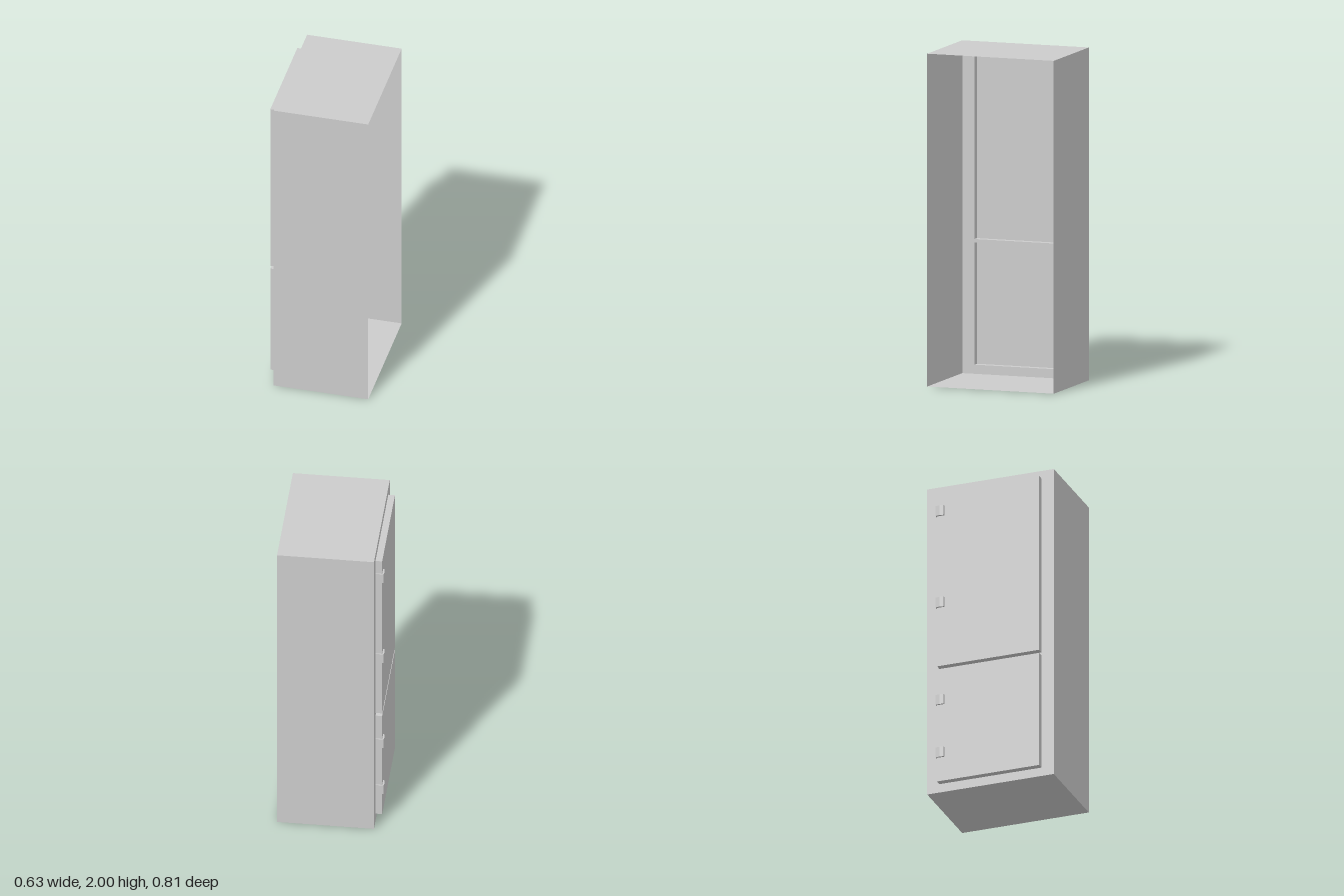
import * as THREE from 'three';

const W0 = -0.265, W1 = 0.315, H = 2, D = 0.403; // cabinet extents
const DOOR_X = -0.305, DOOR_Z = 0.325;           // door face and half width
const DOORS = [['upperDoor', 0.81, 1.95], ['lowerDoor', 0.055, 0.79]];

// Box between x limits and y limits, without its first few faces (order +x, -x, ...)
function openBox(x0, x1, y0, y1, halfZ, skippedFaces) {
  const g = new THREE.BoxGeometry(x1 - x0, y1 - y0, halfZ * 2);
  g.translate((x0 + x1) / 2, (y0 + y1) / 2, 0);
  g.setIndex(Array.from(g.index.array).slice(skippedFaces * 6));
  g.clearGroups();
  return g;
}

function rectangle(PathType, halfZ, y0, y1) {
  return new PathType([
    new THREE.Vector2(-halfZ, y0), new THREE.Vector2(halfZ, y0),
    new THREE.Vector2(halfZ, y1), new THREE.Vector2(-halfZ, y1),
  ]);
}

export function createModel() {
  const model = new THREE.Group();
  model.name = 'cabinet';
  const material = new THREE.MeshStandardMaterial({ color: 0xcccccc, side: THREE.DoubleSide });
  const add = (name, geometry) => {
    const mesh = new THREE.Mesh(geometry, material);
    mesh.name = name;
    model.add(mesh);
    return mesh;
  };

  // Thin shell: top, bottom and two walls, open on the +x side
  add('cabinetShell', openBox(W0, W1, 0, H, D, 2));

  // Door-side wall with an opening behind each door
  const frame = rectangle(THREE.Shape, D, 0, H);
  for (const [, y0, y1] of DOORS) frame.holes.push(rectangle(THREE.Path, DOOR_Z, y0, y1));
  add('doorFrame', new THREE.ShapeGeometry(frame).rotateY(-Math.PI / 2).translate(W0, 0, 0));

  // Raised hollow doors, open towards the inside
  for (const [name, y0, y1] of DOORS) add(name, openBox(DOOR_X, W0, y0, y1, DOOR_Z, 1));

  // Hinges: a bent plate wrapping the door edge, drawn as (x, -z) and raised along y
  const profile = new THREE.Shape([
    [W0, 0.331], [-0.314, 0.331], [-0.318, 0.305], [-0.314, 0.279],
    [DOOR_X, 0.279], [DOOR_X, DOOR_Z], [W0, DOOR_Z],
  ].map(([x, z]) => new THREE.Vector2(x, z)));
  const hinge = new THREE.ExtrudeGeometry(profile, { depth: 0.064, bevelEnabled: false })
    .rotateX(-Math.PI / 2).translate(0, -0.032, 0);
  [1.825, 1.225, 0.587, 0.242].forEach((y, i) => {
    add('hinge' + (i + 1), hinge).position.y = y;
  });

  return model;
}
